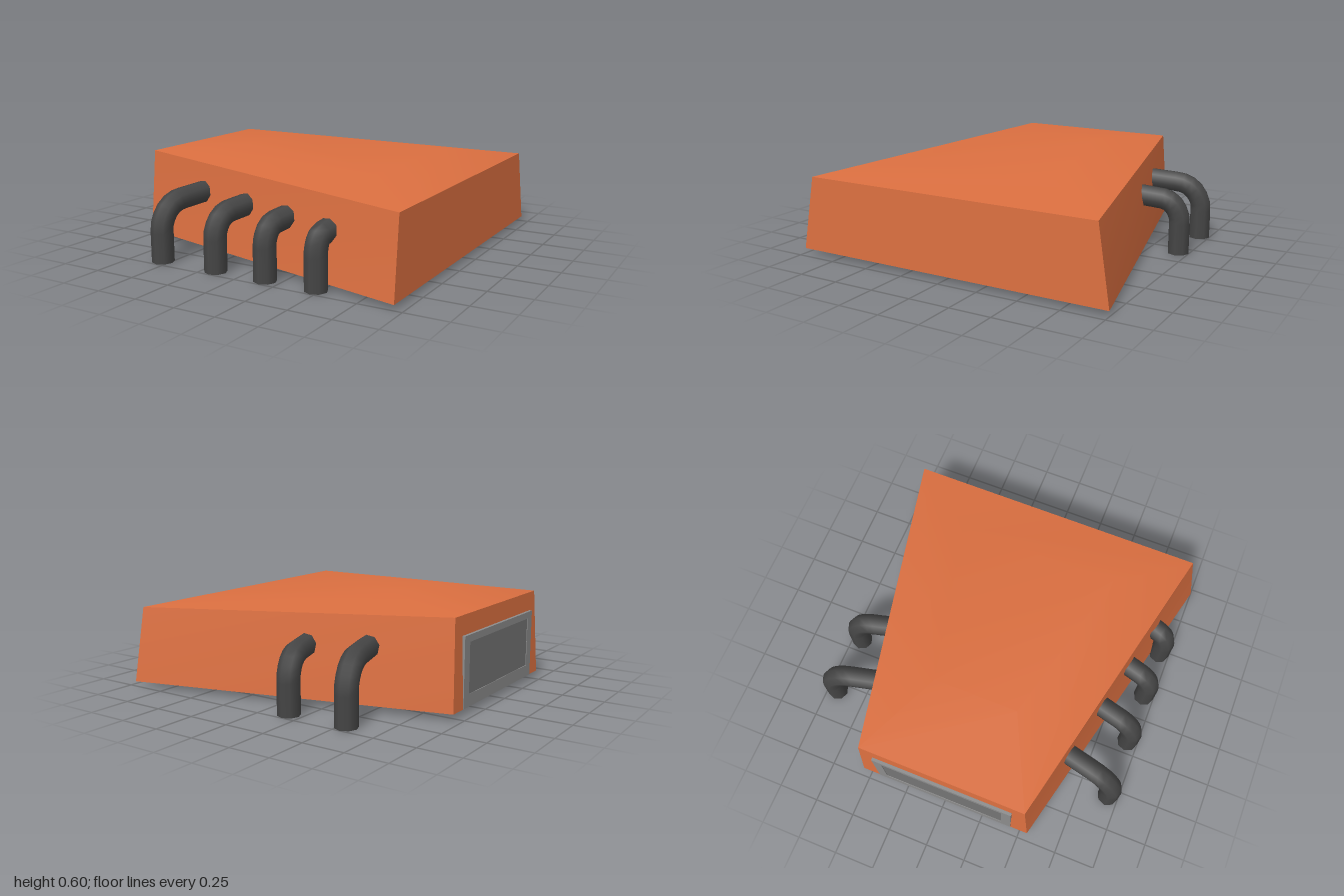
import * as THREE from 'three';

const paint = (color) => new THREE.MeshStandardMaterial({ color });
const orange = paint(0xdb6f40);
const dark = paint(0x454545);
const baseGrey = paint(0x777777);
const frameGrey = paint(0x8c8c8c);
const panelGrey = paint(0x747474);

// Rectangle-like ring of corners: back-narrow, front-narrow, front-wide, back-wide
const ring = (x0, y0, z0, x1, y1, z1) => [[x0, y0, -z0], [x0, y0, z0], [x1, y1, z1], [x1, y1, -z1]];
const bottom = ring(-0.96, 0.04, 0.55, 0.955, 0.03, 1.0);
const shoulder = ring(-0.94, 0.55, 0.515, 0.94, 0.475, 0.925);
const crown = ring(-0.41, 0.595, 0.26, 0.6, 0.55, 0.5);

function geometry(points, quads) {
  const g = new THREE.BufferGeometry();
  g.setAttribute('position', new THREE.Float32BufferAttribute(points.flat(), 3));
  g.setIndex(quads.flatMap(([a, b, c, d]) => [a, b, c, a, c, d]));
  g.computeVertexNormals();
  return g;
}

function add(parent, name, geo, material) {
  const mesh = new THREE.Mesh(geo, material);
  mesh.name = name;
  parent.add(mesh);
  return mesh;
}

// Bent exhaust: leaves the side wall, then turns down to a vertical foot
function exhaustPipe(side, footX, wallX, wallY, wallZ) {
  const pipe = new THREE.Group();
  pipe.name = 'exhaustPipe';
  const footZ = 0.935, r = 0.065;
  const at = (t, y) => new THREE.Vector3(
    THREE.MathUtils.lerp(footX, wallX, t), y, side * THREE.MathUtils.lerp(footZ, wallZ, t));
  const path = new THREE.CurvePath();
  const knee = at(0, 0.21), elbow = at(0.1, wallY - 0.03), out = at(0.45, wallY - 0.015);
  path.add(new THREE.LineCurve3(at(0, 0), knee));
  path.add(new THREE.QuadraticBezierCurve3(knee, elbow, out));
  path.add(new THREE.LineCurve3(out, at(1.08, wallY)));
  add(pipe, 'pipeTube', new THREE.TubeGeometry(path, 14, r, 8), dark);
  const foot = add(pipe, 'pipeFoot', new THREE.CircleGeometry(r, 8), dark);
  foot.rotation.x = Math.PI / 2;
  foot.position.set(footX, 0, side * footZ);
  return pipe;
}

export function createModel() {
  const model = new THREE.Group();
  model.name = 'engineCover';

  // Tapered side walls, each flat
  const walls = new THREE.Group();
  walls.name = 'sideWalls';
  ['narrowEnd', 'frontWall', 'wideEnd', 'backWall'].forEach((name, i) => {
    const j = (i + 1) % 4;
    add(walls, name, geometry([bottom[i], bottom[j], shoulder[j], shoulder[i]], [[0, 1, 2, 3]]), orange);
  });
  model.add(walls);

  // Gently crowned lid, smooth across its facets
  const lidQuads = [[4, 5, 6, 7]];
  for (let i = 0; i < 4; i++) lidQuads.push([i, (i + 1) % 4, 4 + (i + 1) % 4, 4 + i]);
  add(model, 'lid', geometry([...shoulder, ...crown], lidQuads), orange);
  add(model, 'underside', geometry(bottom, [[3, 2, 1, 0]]), baseGrey);

  // Upright frame on the narrow end with a sunken panel
  const shape = new THREE.Shape([[-0.44, 0.04], [0.44, 0.04], [0.44, 0.44], [-0.44, 0.44]]
    .map((p) => new THREE.Vector2(...p)));
  shape.holes.push(new THREE.Path([[-0.38, 0.11], [-0.38, 0.4], [0.38, 0.4], [0.38, 0.11]]
    .map((p) => new THREE.Vector2(...p))));
  const frameGeo = new THREE.ExtrudeGeometry(shape, { depth: 0.022, bevelEnabled: false });
  frameGeo.rotateY(-Math.PI / 2).translate(-0.94, 0, 0);
  add(model, 'grilleFrame', frameGeo, frameGrey);
  const panel = add(model, 'grillePanel', new THREE.PlaneGeometry(0.76, 0.29), panelGrey);
  panel.rotation.y = -Math.PI / 2;
  panel.position.set(-0.9585, 0.255, 0);

  // Four pipes on the front, two on the back: foot x, wall x, y, z
  const pipes = [
    [-0.545, -0.48, 0.363, 0.63],
    [-0.168, -0.12, 0.343, 0.71],
    [0.16, 0.195, 0.328, 0.78],
    [0.477, 0.5, 0.313, 0.845],
  ];
  pipes.forEach((p, i) => {
    model.add(exhaustPipe(1, ...p));
    if (i < 2) model.add(exhaustPipe(-1, ...p));
  });
  return model;
}
